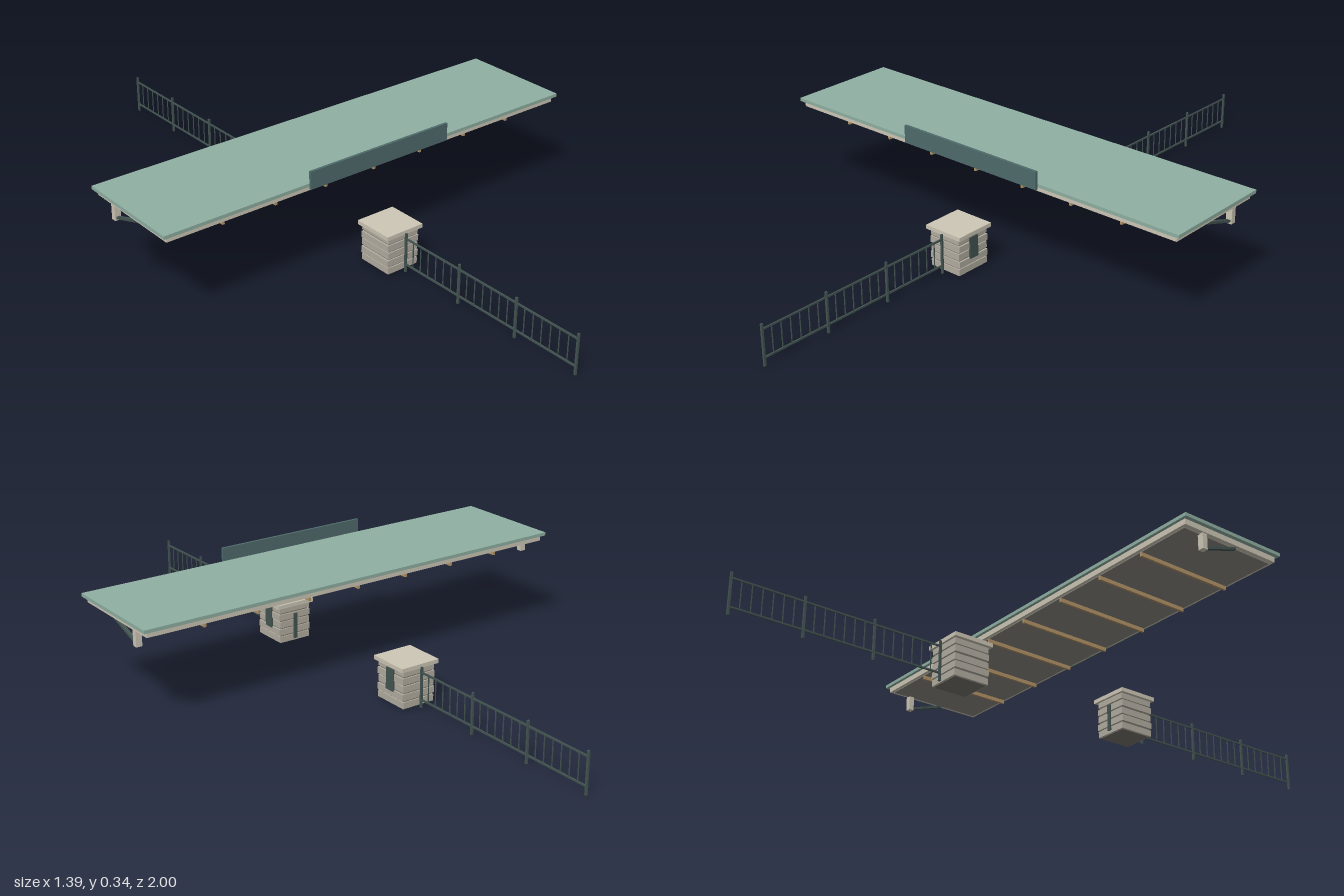
import * as THREE from 'three';

const mat = (color) => new THREE.MeshStandardMaterial({ color });
const M = {
  roof: mat(0x8fb0a2), sign: mat(0x4f6b6c), cream: mat(0xcdc7b6), stone: mat(0xb2ada0),
  core: mat(0x77736a), metal: mat(0x435552), timber: mat(0xb39468), soffit: mat(0x8c8880),
};

// Box given by its size and centre
function box(parent, name, material, w, h, d, x, y, z) {
  const m = new THREE.Mesh(new THREE.BoxGeometry(w, h, d), material);
  m.name = name;
  m.position.set(x, y, z);
  parent.add(m);
  return m;
}

function createCanopy() {
  const g = new THREE.Group();
  g.name = 'canopy';
  const zc = 0.073;
  box(g, 'roofSheet', M.roof, 1.39, 0.01, 0.346, 0, 0.297, zc);
  box(g, 'fascia', M.cream, 1.366, 0.016, 0.328, 0, 0.284, zc);
  box(g, 'soffit', M.soffit, 1.34, 0.003, 0.31, 0, 0.275, zc);
  box(g, 'signBoard', M.sign, 0.484, 0.053, 0.008, 0, 0.314, 0.252);
  // Ceiling battens
  for (let i = -3; i <= 3; i++)
    box(g, 'batten', M.timber, 0.007, 0.012, 0.31, i * 0.168, 0.268, zc);
  // End brackets: short post and sloping brace
  for (const s of [-1, 1]) {
    const b = new THREE.Group();
    b.name = 'endBracket';
    box(b, 'bracketPost', M.cream, 0.018, 0.046, 0.016, 0, 0.252, -0.02);
    const brace = box(b, 'brace', M.metal, 0.01, 0.007, 0.12, 0, 0.254, 0.04);
    brace.rotation.x = -Math.atan2(0.036, 0.11);
    b.position.x = s * 0.672;
    g.add(b);
  }
  return g;
}

// Banded stone pillar; s gives the side on which its fence stands
function createPillar(s) {
  const g = new THREE.Group();
  g.name = 'pillar';
  box(g, 'core', M.core, 0.098, 0.114, 0.104, 0, 0.059, 0);
  for (let i = 0; i < 5; i++)
    box(g, 'stoneCourse', M.stone, i % 2 ? 0.11 : 0.105, 0.019, 0.112, 0, 0.0135 + i * 0.0235, 0);
  box(g, 'cap', M.cream, 0.126, 0.012, 0.126, 0, 0.121, 0);
  box(g, 'plaque', M.metal, 0.005, 0.064, 0.032, 0.055, 0.075, 0);
  box(g, 'gateStrip', M.metal, 0.012, 0.08, 0.004, 0, 0.051, -s * 0.06);
  g.position.z = s * 0.298;
  return g;
}

// Three fence bays running outward along z
function createFence(s) {
  const g = new THREE.Group();
  g.name = 'fence';
  const start = 0.366, end = 0.997, bay = (end - start) / 3;
  for (let i = 0; i <= 3; i++) {
    const z = start + i * bay;
    box(g, 'fencePost', M.metal, 0.006, 0.12, 0.006, 0, 0.06, s * z);
    if (i === 3) break;
    for (let k = 1; k <= 6; k++)
      box(g, 'baluster', M.metal, 0.0024, 0.08, 0.0024, 0, 0.064, s * (z + (k * bay) / 7));
  }
  for (const y of [0.024, 0.104])
    box(g, 'rail', M.metal, 0.004, 0.005, end - start, 0, y, s * (start + end) / 2);
  return g;
}

export function createModel() {
  const model = new THREE.Group();
  model.name = 'entranceCanopy';
  model.add(createCanopy());
  for (const s of [-1, 1]) model.add(createPillar(s), createFence(s));
  return model;
}
